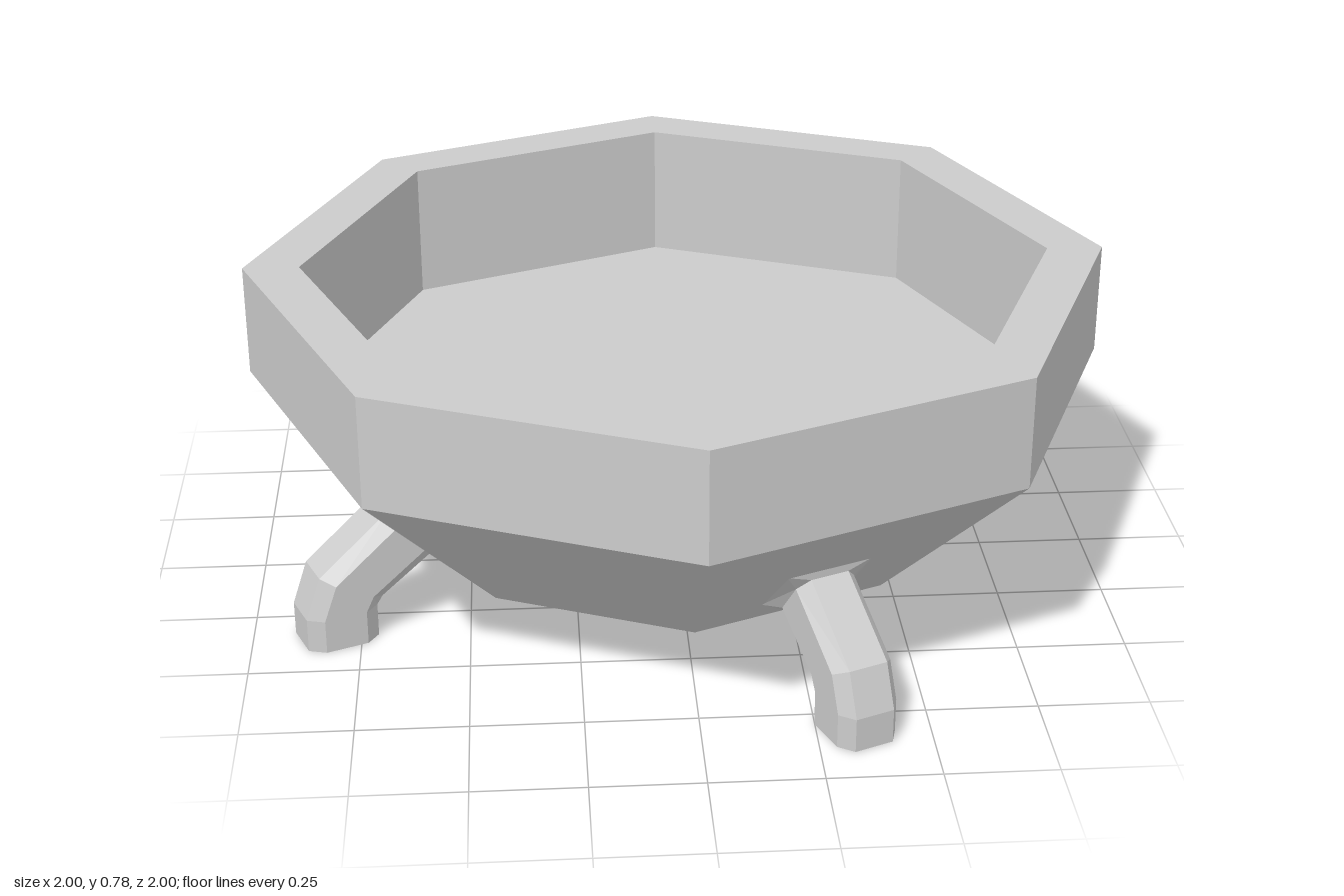
import * as THREE from 'three';

const material = new THREE.MeshStandardMaterial({ color: 0xcccccc, flatShading: true });

// Octagonal basin: pointed underside, upright band, flat rim, recessed floor
function makeBasin() {
  const profile = [
    [0, 0], [0.13, 0], [0.62, 0.14], [1, 0.52], [1, 0.78],
    [0.87, 0.78], [0.87, 0.455], [0, 0.455],
  ].map(([r, y]) => new THREE.Vector2(r, y));
  const basin = new THREE.Mesh(new THREE.LatheGeometry(profile, 8), material);
  basin.name = 'basin';
  return basin;
}

// Curved leg: eight-sided sections along a bend, flaring into a square root on the basin
function makeLegGeometry() {
  const section = [
    [-0.046, 1], [0.046, 1], [0.072, 0.59], [0.072, -0.59],
    [0.046, -1], [-0.046, -1], [-0.072, -0.59], [-0.072, 0.59],
  ];
  // Centre (z, y) and half-depth vector (dz, dy) of each section
  const rings = [
    { z: 0.875, y: 0, dz: 0.085, dy: 0 },
    { z: 0.875, y: 0.08, dz: 0.085, dy: 0 },
    { z: 0.85, y: 0.14, dz: 0.074, dy: 0.04 },
    { z: 0.70, y: 0.25, dz: 0.05, dy: 0.065 },
    { z: 0.693, y: 0.272, dz: 0.058, dy: 0.063, flare: 0.105 },
  ];
  const positions = [];
  const index = [];
  const n = section.length;
  for (const r of rings) {
    for (const [x, d] of section) {
      const depth = r.flare ? Math.sign(d) : d;
      positions.push(r.flare ? Math.sign(x) * r.flare : x, r.y + r.dy * depth, r.z + r.dz * depth);
    }
  }
  for (let i = 0; i < rings.length - 1; i++) {
    for (let j = 0; j < n; j++) {
      const a = i * n + j;
      const b = i * n + (j + 1) % n;
      index.push(a, b, a + n, b, b + n, a + n);
    }
  }
  // Sole of the foot
  for (let j = 1; j < n - 1; j++) index.push(0, j + 1, j);

  const geometry = new THREE.BufferGeometry();
  geometry.setAttribute('position', new THREE.Float32BufferAttribute(positions, 3));
  geometry.setIndex(index);
  geometry.computeVertexNormals();
  return geometry;
}

export function createModel() {
  const model = new THREE.Group();
  model.name = 'footedBasin';
  model.add(makeBasin());

  // Four legs, each centred under every second side of the octagon
  const legGeometry = makeLegGeometry();
  ['frontLeg', 'leftLeg', 'backLeg', 'rightLeg'].forEach((name, i) => {
    const leg = new THREE.Mesh(legGeometry, material);
    leg.name = name;
    leg.rotation.y = Math.PI / 8 + i * Math.PI / 2;
    model.add(leg);
  });
  return model;
}
